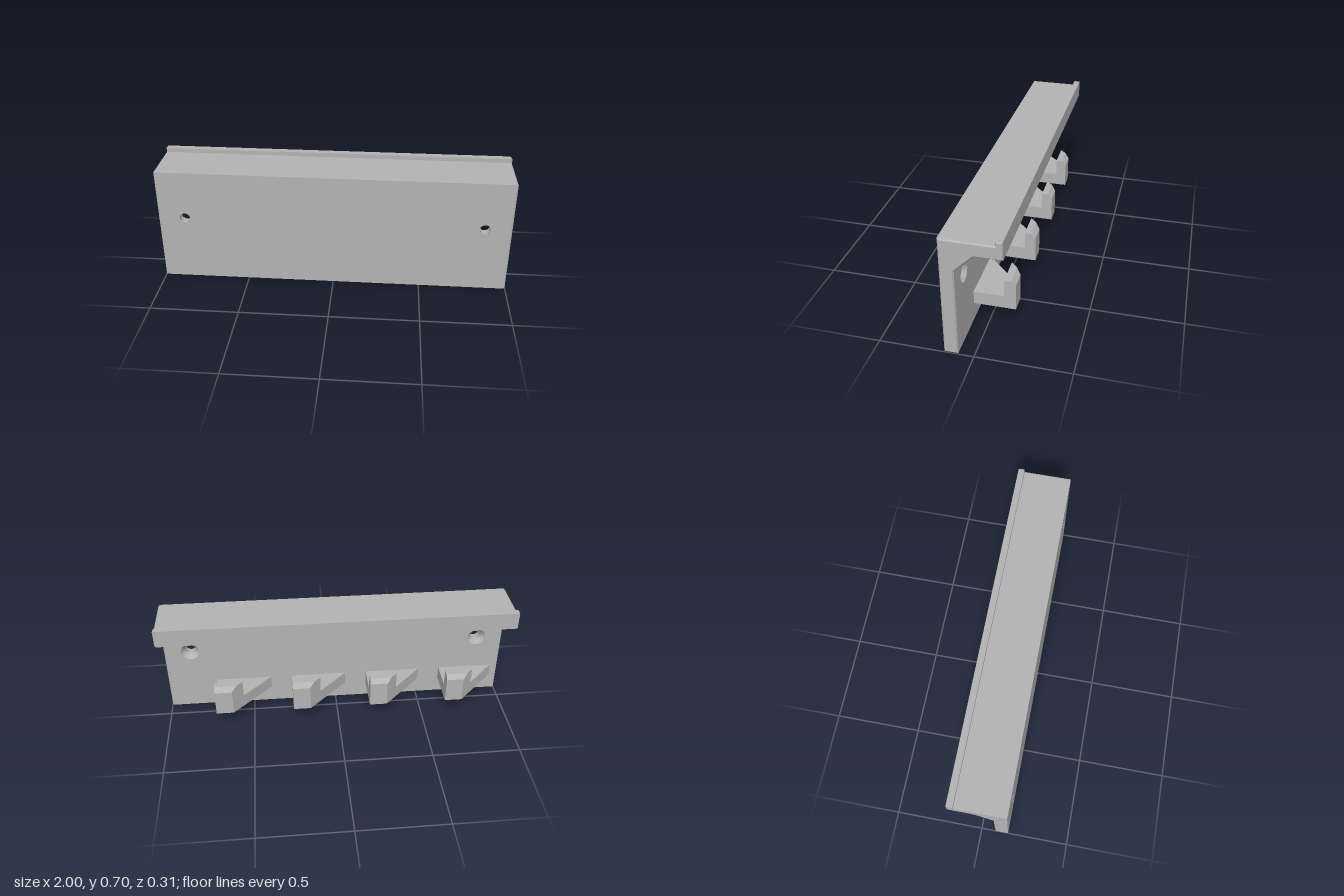
import * as THREE from 'three';
import { toCreasedNormals } from 'three/addons/utils/BufferGeometryUtils.js';

// Side profile of the shelf, as [depth towards the back, height], counter-clockwise
const FRONT = -0.156, WALL = -0.0825, BEVEL_X = 0.992;
const PROFILE = [
  [FRONT, 0], [WALL, 0], [WALL, 0.5], [0.0175, 0.6], [0.156, 0.6],
  [0.156, 0.7], [0.12, 0.7], [0.12, 0.675], [FRONT, 0.675],
];
const HOOK = [
  [WALL, 0.1], [0.1435, 0.1], [0.1435, 0.25], [0.1185, 0.275], [0.0815, 0.275],
  [0.0815, 0.175], [WALL, 0.175],
];
const HOLE_X = 0.85, HOLE_Y = 0.39, HOLE_R = 0.03, SINK_R = 0.053, SINK_DEPTH = 0.025;

const toShape = (pts) => new THREE.Shape(pts.map(([u, y]) => new THREE.Vector2(u, y)));

// Mitred inward offset of a closed counter-clockwise outline
function inset(pts, d) {
  const n = pts.length;
  const normal = (a, b) => {
    const l = Math.hypot(b[0] - a[0], b[1] - a[1]);
    return [-(b[1] - a[1]) / l, (b[0] - a[0]) / l];
  };
  return pts.map((p, i) => {
    const m = normal(pts[(i + n - 1) % n], p), k = normal(p, pts[(i + 1) % n]);
    const s = d / (1 + m[0] * k[0] + m[1] * k[1]);
    return [p[0] + (m[0] + k[0]) * s, p[1] + (m[1] + k[1]) * s];
  });
}

// Flat strip joining two outlines at xa and xb, leaving out the listed sides
function strip(outA, xa, outB, xb, skip = []) {
  const pos = [];
  outA.forEach((p, i) => {
    if (skip.includes(i)) return;
    const j = (i + 1) % outA.length;
    const a = [xa, p[1], -p[0]], b = [xa, outA[j][1], -outA[j][0]];
    const c = [xb, outB[j][1], -outB[j][0]], d = [xb, outB[i][1], -outB[i][0]];
    pos.push(...a, ...b, ...c, ...a, ...c, ...d);
  });
  const g = new THREE.BufferGeometry();
  g.setAttribute('position', new THREE.Float32BufferAttribute(pos, 3));
  g.computeVertexNormals();
  return g;
}

// Flat panel with the two screw holes
function panel(x0, x1, height, radius) {
  const s = toShape([[x0, 0], [x1, 0], [x1, height], [x0, height]]);
  for (const side of [-1, 1]) {
    s.holes.push(new THREE.Path().absarc(side * HOLE_X, HOLE_Y, radius, 0, Math.PI * 2, true));
  }
  return new THREE.ShapeGeometry(s, 32);
}

// Hook that is straight on its left side and widens to the right towards the wall
function hookGeometry() {
  const g = new THREE.ExtrudeGeometry(toShape(HOOK), { depth: 1, bevelEnabled: false });
  const p = g.attributes.position;
  for (let i = 0; i < p.count; i++) {
    const t = (p.getX(i) - WALL) / (0.1435 - WALL);
    p.setZ(i, (p.getZ(i) - 1) * THREE.MathUtils.lerp(0.325, 0.1, t));
  }
  g.rotateY(Math.PI / 2);
  g.computeVertexNormals();
  return g;
}

export function createModel() {
  const model = new THREE.Group();
  model.name = 'hookShelf';
  const grey = new THREE.MeshStandardMaterial({ color: 0xb3b3b3 });
  grey.name = 'grey';

  const add = (name, geometry, parent = model) => {
    const mesh = new THREE.Mesh(geometry, grey);
    mesh.name = name;
    parent.add(mesh);
    return mesh;
  };

  // Shelf body: long sides, holed panels, bevelled left end and plain right end
  const body = new THREE.Group();
  body.name = 'shelfBody';
  model.add(body);
  const inner = inset(PROFILE, 0.007);
  add('shelfSides', strip(PROFILE, -1, PROFILE, BEVEL_X, [1, 8]), body);
  add('leftBevel', strip(PROFILE, BEVEL_X, inner, 1), body);
  add('leftEnd', new THREE.ShapeGeometry(toShape(inner)).rotateY(Math.PI / 2).translate(1, 0, 0), body);
  const mirrored = PROFILE.map(([u, y]) => [-u, y]);
  add('rightEnd', new THREE.ShapeGeometry(toShape(mirrored)).rotateY(-Math.PI / 2).translate(-1, 0, 0), body);
  add('frontPanel', panel(-1, BEVEL_X, 0.675, HOLE_R).translate(0, 0, -FRONT), body);
  add('backPanel', panel(-BEVEL_X, 1, 0.5, SINK_R).rotateY(Math.PI).translate(0, 0, -WALL), body);

  // Countersunk screw holes, facing inwards
  const holePts = [[HOLE_R, -FRONT], [HOLE_R, -WALL + SINK_DEPTH], [SINK_R, -WALL]]
    .map(([r, z]) => new THREE.Vector2(r, z));
  const hole = toCreasedNormals(new THREE.LatheGeometry(holePts, 32).rotateX(Math.PI / 2), 0.5);
  for (const side of [-1, 1]) {
    add(side > 0 ? 'leftScrewHole' : 'rightScrewHole', hole).position.set(side * HOLE_X, HOLE_Y, 0);
  }

  // Row of hooks
  const hook = hookGeometry();
  for (let i = 0; i < 4; i++) add(`hook${i + 1}`, hook).position.x = 0.715 - i * 0.45;

  return model;
}
